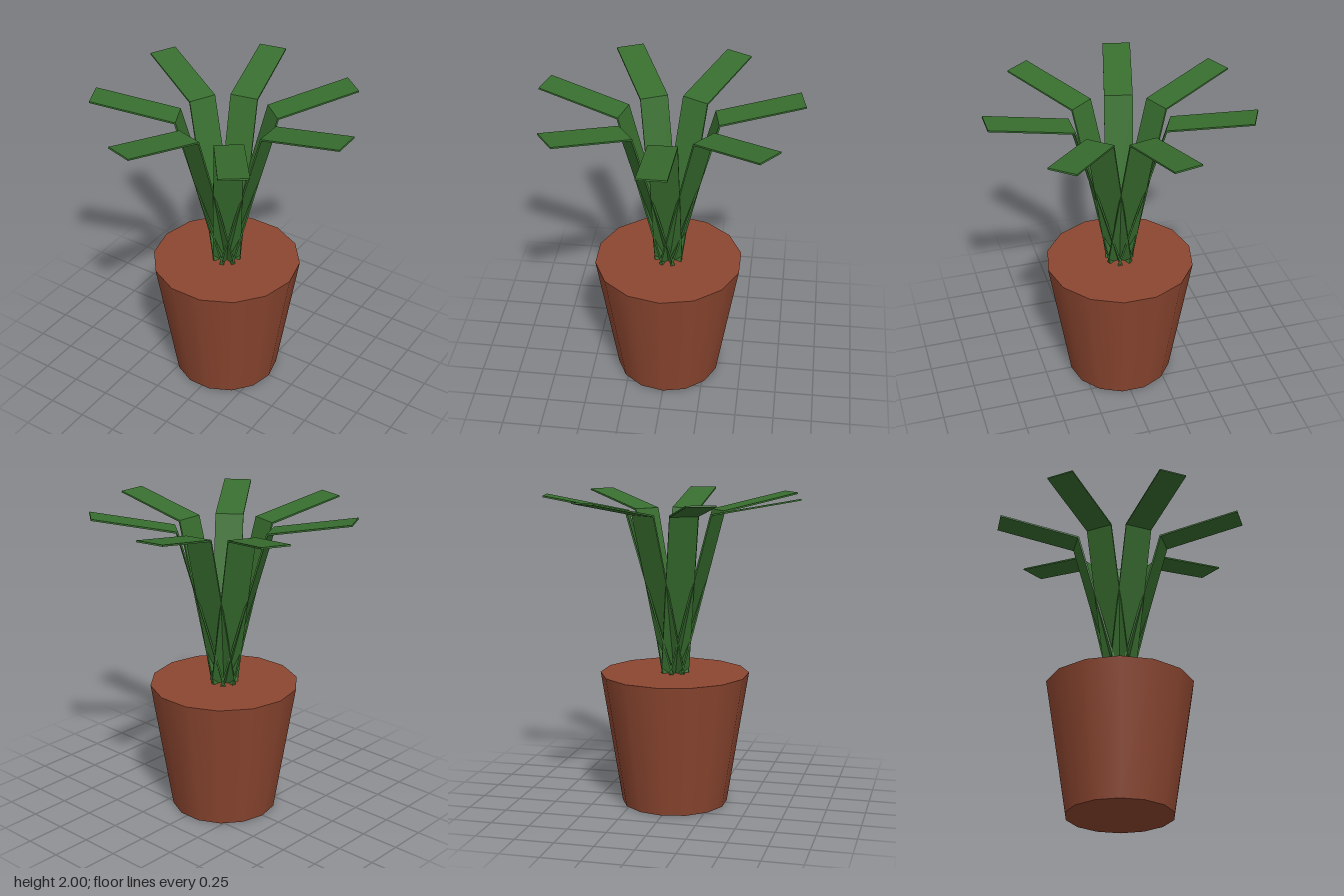
import * as THREE from 'three';

export function createModel() {
  const model = new THREE.Group();
  model.name = 'pottedPlant';

  const terracotta = new THREE.MeshStandardMaterial({ color: 0x8c4630 });
  terracotta.name = 'terracotta';
  const leafGreen = new THREE.MeshStandardMaterial({ color: 0x386e2f });
  leafGreen.name = 'leafGreen';

  const centreX = -0.02;

  // Tapered pot with smooth sides and flat caps
  const pot = new THREE.Mesh(new THREE.CylinderGeometry(0.48, 0.343, 0.86, 14), terracotta);
  pot.name = 'pot';
  pot.position.set(centreX, 0.43, 0);
  pot.rotation.y = Math.PI / 2;
  model.add(pot);

  // Side profile of one bent leaf: x is the distance from the middle of the plant
  const profile = new THREE.Shape([
    [0, 0.8], [0.305, 1.888], [0.825, 1.99],
    [0.823, 2.0], [0.297, 1.898], [-0.012, 0.8],
  ].map(([r, y]) => new THREE.Vector2(r, y)));
  const width = 0.18;
  const leafGeometry = new THREE.ExtrudeGeometry(profile, { depth: width, bevelEnabled: false });
  leafGeometry.translate(0, 0, -width / 2);

  // Leaves fanned around the pot, angles from +x towards +z
  const leaves = new THREE.Group();
  leaves.name = 'leaves';
  leaves.position.x = centreX;
  [0, 54, 104.7, 155.6, 207, 258.5, 309].forEach((angle, i) => {
    const leaf = new THREE.Mesh(leafGeometry, leafGreen);
    leaf.name = `leaf${i + 1}`;
    leaf.rotation.y = -THREE.MathUtils.degToRad(angle);
    leaves.add(leaf);
  });
  model.add(leaves);

  return model;
}
